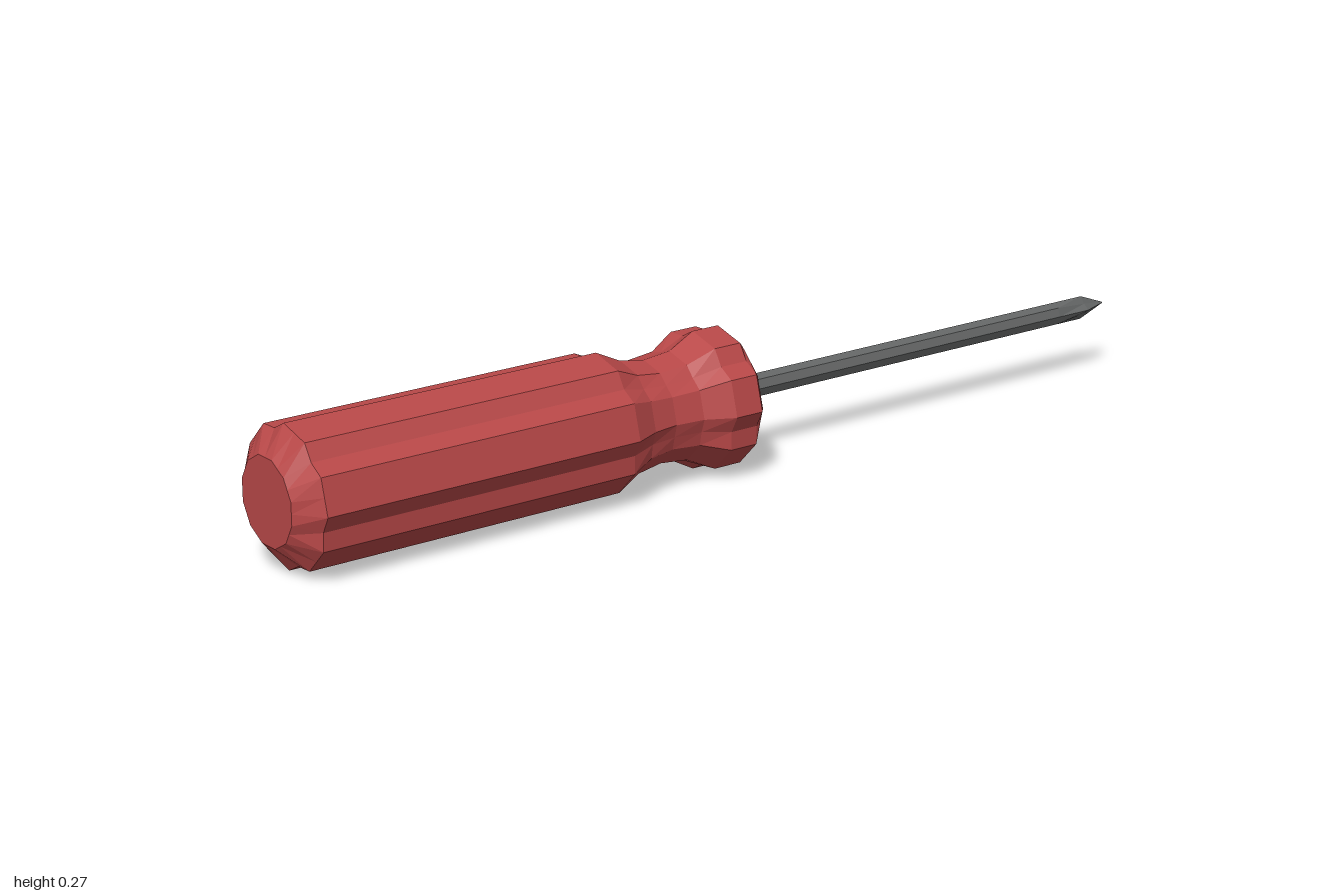
import * as THREE from 'three';

const AXIS_Y = 0.137;

// Skin a stack of rings running from +z to -z, with fan caps on both ends.
function loft(rings) {
  const pos = [];
  const n = rings[0].length;
  const tri = (...pts) => pts.forEach((p) => pos.push(p.x, p.y, p.z));
  for (let i = 0; i < rings.length - 1; i++) {
    const a = rings[i], b = rings[i + 1];
    for (let j = 0; j < n; j++) {
      const k = (j + 1) % n;
      tri(a[j], b[j], b[k]);
      tri(a[j], b[k], a[k]);
    }
  }
  const first = rings[0], last = rings[rings.length - 1];
  const front = new THREE.Vector3(0, 0, first[0].z);
  const back = new THREE.Vector3(0, 0, last[0].z);
  for (let j = 0; j < n; j++) {
    const k = (j + 1) % n;
    tri(front, first[j], first[k]);
    tri(back, last[k], last[j]);
  }
  const geo = new THREE.BufferGeometry();
  geo.setAttribute('position', new THREE.Float32BufferAttribute(pos, 3));
  geo.computeVertexNormals(); // unshared corners give flat facets
  return geo;
}

// Ring of n points whose radius follows radiusAt(index).
function ring(n, z, radiusAt) {
  return Array.from({ length: n }, (_, j) => {
    const a = (j / n) * Math.PI * 2, r = radiusAt(j);
    return new THREE.Vector3(Math.cos(a) * r, Math.sin(a) * r, z);
  });
}

// Twelve-sided grip section with every other side creased inward.
const COS15 = Math.cos(Math.PI / 12);
function gripRing(z, r, crease) {
  return ring(24, z, (j) => {
    if (j % 2 === 0) return r;
    return r * (j % 4 === 3 ? crease : COS15);
  });
}

// Twelve-sided pommel face, turned half a side from the grip.
function pommelRing(z, r) {
  return ring(24, z, (j) => (j % 2 ? r : r * COS15));
}

export function createModel() {
  const red = new THREE.MeshStandardMaterial({ color: 0xb84848 });
  red.name = 'red plastic';
  const steel = new THREE.MeshStandardMaterial({ color: 0x646666 });
  steel.name = 'dark steel';

  const model = new THREE.Group();
  model.name = 'screwdriver';
  const add = (name, geo, mat) => {
    const mesh = new THREE.Mesh(geo, mat);
    mesh.name = name;
    mesh.position.y = AXIS_Y;
    model.add(mesh);
  };

  // Handle: chamfered pommel, creased grip, waisted neck and collar
  const grip = [
    [0.96, 0.137, 0.905], [0.29, 0.137, 0.905], [0.235, 0.111, 0.94],
    [0.18, 0.102, COS15], [0.12, 0.108, 0.95], [0.065, 0.137, 0.905],
    [0.005, 0.137, 0.905], [-0.008, 0.122, COS15],
  ];
  add('handle', loft([
    pommelRing(1, 0.085),
    ...grip.map(([z, r, crease]) => gripRing(z, r, crease)),
  ]), red);

  // Shaft: plain eight-sided rod
  const rod = 0.024;
  add('shaft', loft([0, -0.86].map((z) => ring(8, z, () => rod))), steel);

  // Cross tip: four ridges with flutes cut between them, ending in a point
  const tip = [[-0.86, rod, rod], [-0.94, rod, 0.015], [-1, 0.0015, 0.001]];
  add('crossTip', loft(tip.map(([z, ridge, flute]) =>
    ring(8, z, (j) => (j % 2 ? flute : ridge)))), steel);

  return model;
}
